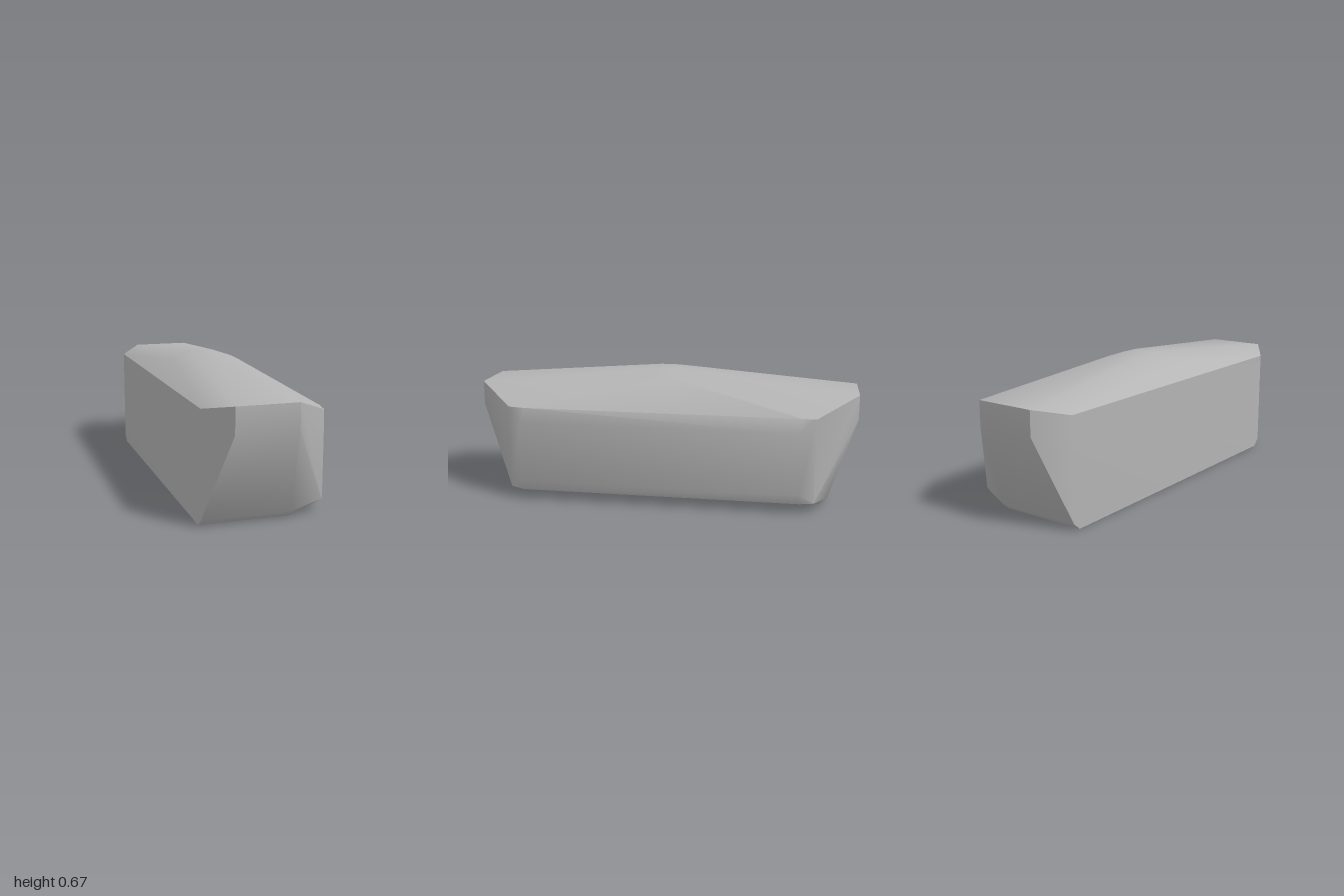
import * as THREE from 'three';
import { ConvexGeometry } from 'three/addons/geometries/ConvexGeometry.js';
import { toCreasedNormals } from 'three/addons/utils/BufferGeometryUtils.js';

export function createModel() {
  const group = new THREE.Group();
  group.name = 'block';
  const grey = new THREE.MeshStandardMaterial({ color: 0xb4b4b4 });
  grey.name = 'grey';

  // Matching corners at both ends: x front, x back, y, z front, z back
  const corners = [
    // end panels
    [-0.23, -0.18, 0.58, 1, -1],
    [0.07, 0.125, 0.58, 1, -1],
    [-0.23, -0.18, 0.455, 1, -1],
    [0.07, 0.125, 0.455, 1, -1],
    // flat side
    [-0.333, -0.3, 0.545, 0.84, -0.86],
    [-0.333, -0.3, 0.035, 0.84, -0.86],
    [-0.333, -0.3, 0, 0.8, -0.82],
    // chamfered side
    [0.28, 0.315, 0.493, 0.79, -0.79],
    [0.28, 0.315, 0.06, 0.79, -0.79],
    [0.315, 0.333, 0.42, 0.72, -0.71],
    [0.315, 0.333, 0.105, 0.72, -0.71],
    [0.3, 0.315, 0.493, 0.7, -0.72],
    [0.3, 0.315, 0.053, 0.72, -0.72],
    // underside
    [0.105, 0.14, 0, 0.8, -0.82],
    [0.105, 0.14, 0.035, 0.84, -0.86],
    // crown of the top
    [-0.23, -0.225, 0.632, 0.05, -0.05],
    [-0.125, -0.12, 0.668, 0.05, -0.05],
    [0.01, 0.015, 0.668, 0.05, -0.05],
    [0.115, 0.12, 0.632, 0.05, -0.05],
  ];
  const points = corners.flatMap(([xf, xb, y, zf, zb]) => [
    new THREE.Vector3(xf, y, zf),
    new THREE.Vector3(xb, y, zb),
  ]);

  // Body with soft shallow bends and sharp main edges
  const geometry = toCreasedNormals(new ConvexGeometry(points), THREE.MathUtils.degToRad(40));
  const body = new THREE.Mesh(geometry, grey);
  body.name = 'body';
  group.add(body);
  return group;
}
